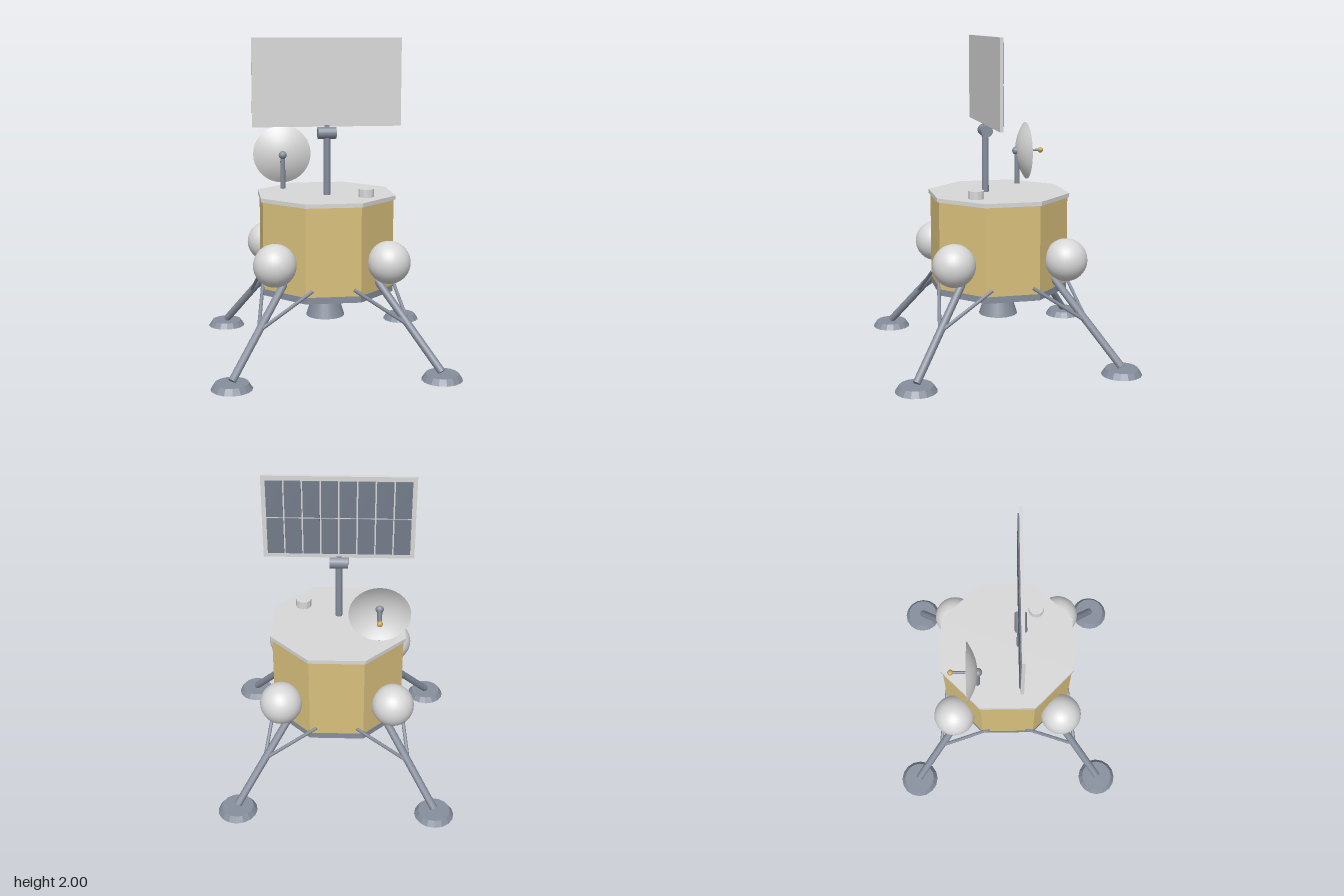
import * as THREE from 'three';

const colour = (name, hex, side = THREE.FrontSide, flatShading = false) => {
  const m = new THREE.MeshStandardMaterial({ color: hex, side, flatShading });
  m.name = name;
  return m;
};

export function createModel() {
  const model = new THREE.Group();
  model.name = 'lander';

  const gold = colour('gold foil', 0xd8bf7c, THREE.FrontSide, true);
  const steel = colour('blue grey steel', 0x868e9c);
  const white = colour('pale grey', 0xd8d8d8, THREE.DoubleSide);
  const cellBlue = colour('solar cell', 0x737c8a);
  const brass = colour('brass', 0xc9a550);

  const add = (name, geometry, material, x = 0, y = 0, z = 0, parent = model) => {
    const mesh = new THREE.Mesh(geometry, material);
    mesh.name = name;
    mesh.position.set(x, y, z);
    parent.add(mesh);
    return mesh;
  };

  // Faceted copy of a geometry
  const faceted = (geometry) => {
    const g = geometry.toNonIndexed();
    g.computeVertexNormals();
    return g;
  };

  // Round bar between two points
  const bar = (name, a, b, radius, sides, parent = model) => {
    const from = new THREE.Vector3(...a), to = new THREE.Vector3(...b);
    const dir = to.clone().sub(from);
    const mesh = add(name, new THREE.CylinderGeometry(radius, radius, dir.length(), sides), steel, 0, 0, 0, parent);
    mesh.position.copy(from).add(to).multiplyScalar(0.5);
    mesh.quaternion.setFromUnitVectors(new THREE.Vector3(0, 1, 0), dir.normalize());
    return mesh;
  };

  // Octagonal body with flats facing the axes
  const octagon = (apothem, y0, y1) => {
    const r = apothem / Math.cos(Math.PI / 8);
    const g = new THREE.CylinderGeometry(r, r, y1 - y0, 8, 1, false, Math.PI / 8);
    g.translate(0, (y0 + y1) / 2, 0);
    return faceted(g);
  };
  add('basePlate', octagon(0.405, 0.425, 0.465), steel);
  add('body', octagon(0.405, 0.465, 1.01), gold);
  add('deck', octagon(0.416, 1.01, 1.035), white);
  add('engineBell', new THREE.CylinderGeometry(0.06, 0.123, 0.195, 24), steel, 0, 0.3375, 0);
  add('deckHatch', faceted(new THREE.CylinderGeometry(0.049, 0.049, 0.05, 12)), white, 0.23, 1.06, 0.188);

  // Four corners: tank, leg, braces and foot
  for (const sx of [-1, 1]) for (const sz of [-1, 1]) {
    const leg = new THREE.Group();
    leg.name = `${sz > 0 ? 'front' : 'back'}${sx > 0 ? 'Left' : 'Right'}Leg`;
    model.add(leg);
    const at = (x, y, z) => [sx * x, y, sz * z];
    add('tank', new THREE.SphereGeometry(0.131, 32, 20), white, sx * 0.347, 0.655, sz * 0.347, leg);
    bar('mainStrut', at(0.62, 0.045, 0.62), at(0.285, 0.53, 0.285), 0.024, 10, leg);
    bar('sideBrace', at(0.455, 0.285, 0.455), at(0.125, 0.505, 0.405), 0.011, 8, leg);
    bar('sideBrace', at(0.455, 0.285, 0.455), at(0.405, 0.505, 0.125), 0.011, 8, leg);
    add('foot', faceted(new THREE.CylinderGeometry(0.1, 0.124, 0.036, 16)), steel, sx * 0.622, 0.018, sz * 0.622, leg);
  }

  // Mast and hinge carrying the solar panel
  const panelZ = 0.082;
  bar('mast', [0, 1.03, panelZ], [0, 1.42, panelZ], 0.022, 12);
  bar('hinge', [-0.057, 1.42, panelZ], [0.057, 1.42, panelZ], 0.037, 20);
  add('hingeNeck', new THREE.BoxGeometry(0.03, 0.03, 0.02), steel, 0, 1.455, panelZ);
  add('solarPanel', new THREE.BoxGeometry(0.92, 0.54, 0.02), white, 0, 1.73, panelZ);

  // Cells on the back of the panel
  const columns = 8, rows = 2, pitchX = 0.875 / columns, pitchY = 0.49 / rows;
  const cell = new THREE.BoxGeometry(pitchX - 0.009, pitchY - 0.009, 0.008);
  for (let i = 0; i < columns; i++) for (let j = 0; j < rows; j++) {
    add('solarCell', cell, cellBlue,
      (i - (columns - 1) / 2) * pitchX, 1.73 + (j - (rows - 1) / 2) * pitchY, panelZ - 0.014);
  }

  // Dish antenna opening towards the back
  const dish = new THREE.Group();
  dish.name = 'dishAntenna';
  dish.position.set(-0.253, 1.253, -0.18);
  model.add(dish);
  const profile = [];
  for (let i = 0; i <= 10; i++) {
    const r = 0.187 * i / 10;
    profile.push(new THREE.Vector2(r, 0.063 * (i / 10) ** 2));
  }
  add('reflector', new THREE.LatheGeometry(profile, 36), white, 0, 0, 0, dish).rotation.x = -Math.PI / 2;
  add('dishHub', new THREE.SphereGeometry(0.026, 20, 14), steel, 0, 0, 0.002, dish);
  bar('feedRod', [0, 0, 0], [0, 0, -0.16], 0.008, 10, dish);
  add('feedTip', new THREE.SphereGeometry(0.018, 16, 12), brass, 0, 0, -0.163, dish);
  bar('dishPost', [0, -0.22, -0.006], [0, 0, -0.003], 0.016, 12, dish);

  return model;
}
